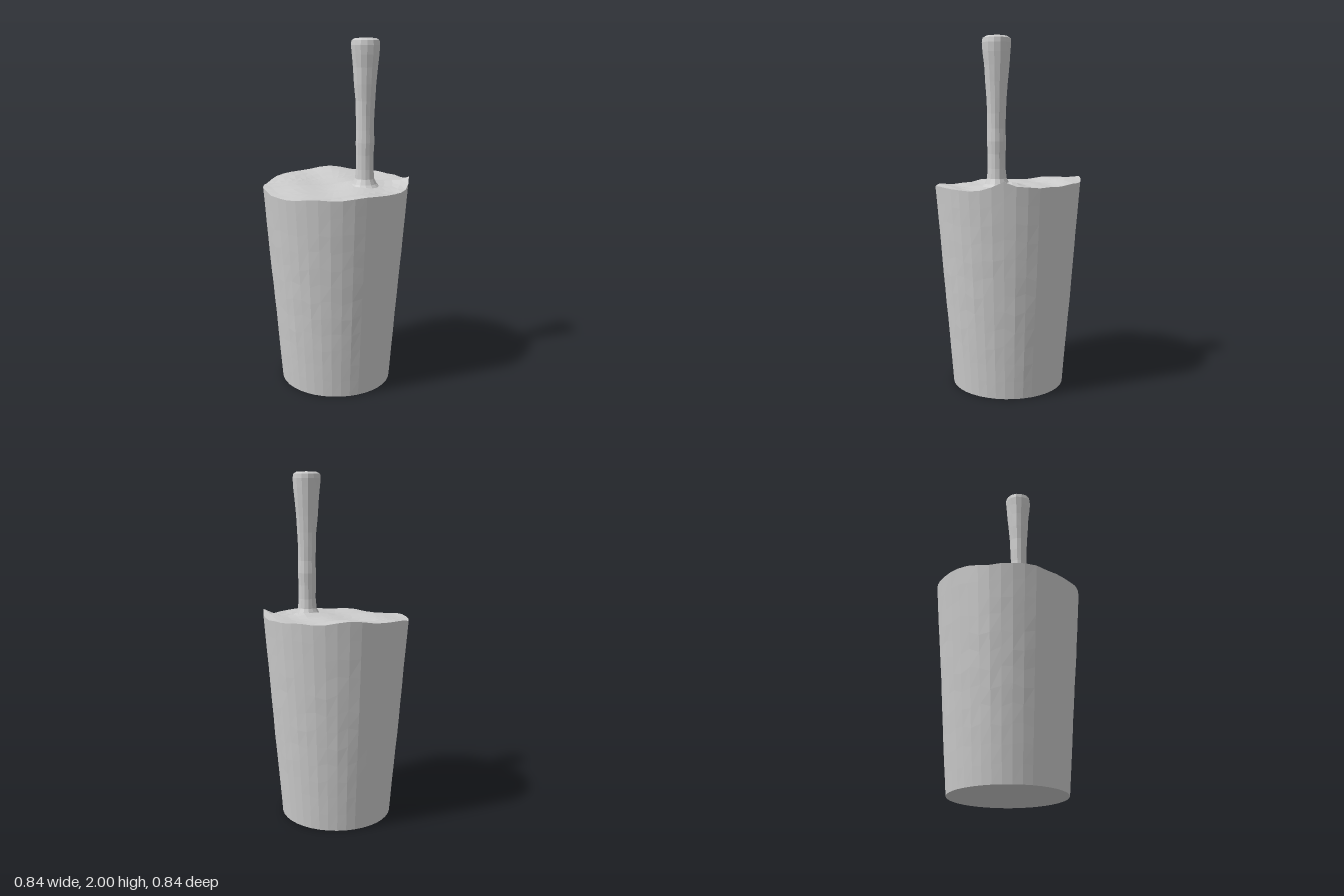
import * as THREE from 'three';

const SIDES = 40, RIM = 0.42, FOOT = 0.325, HEIGHT = 1.18;
const HANDLE_X = 0.175;

const material = (options = {}) =>
  new THREE.MeshStandardMaterial({ color: 0xcccccc, flatShading: true, ...options });

// Gentle peak centred on (px, pz)
const bump = (x, z, px, pz, size, height) =>
  height * Math.exp(-((x - px) ** 2 + (z - pz) ** 2) / (size * size));

// Height of the uneven filling
function surfaceHeight(x, z) {
  return HEIGHT - 0.015 * z / RIM
    + 0.006 * Math.sin(9 * x + 14 * z + 1) + 0.005 * Math.sin(17 * x - 11 * z)
    + 0.003 * Math.sin(31 * z + 23 * x)
    + bump(x, z, -0.22, -0.34, 0.13, 0.02)
    + bump(x, z, 0.4, -0.12, 0.05, 0.04)
    + bump(x, z, 0.16, -0.1, 0.05, 0.012)
    + bump(x, z, -0.05, 0.4, 0.15, -0.01)
    + bump(x, z, HANDLE_X, 0, 0.1, 0.012);
}

// Moves every vertex of a geometry by a rule
function reshape(geometry, rule) {
  const p = geometry.attributes.position;
  const v = new THREE.Vector3();
  for (let i = 0; i < p.count; i++) {
    rule(v.fromBufferAttribute(p, i));
    p.setXYZ(i, v.x, v.y, v.z);
  }
  geometry.computeVertexNormals();
  return geometry;
}

function addPart(group, name, geometry, options) {
  const mesh = new THREE.Mesh(geometry, material(options));
  mesh.name = name;
  group.add(mesh);
  return mesh;
}

export function createModel() {
  const group = new THREE.Group();
  group.name = 'tubWithHandle';

  // Tapered wall, its top edge following the filling
  const wall = new THREE.CylinderGeometry(RIM, FOOT, HEIGHT, SIDES, 12, true);
  wall.translate(0, HEIGHT / 2, 0);
  addPart(group, 'tubWall', reshape(wall, (v) => {
    const t = v.y / HEIGHT, a = Math.atan2(v.x, v.z);
    const rimY = surfaceHeight(RIM * Math.sin(a), RIM * Math.cos(a));
    const fade = Math.sin(Math.PI * t);
    const dent = 1 + 0.004 * fade * Math.sin(11 * a + 17 * t) * Math.cos(7 * a - 13 * t);
    v.x *= dent;
    v.z *= dent;
    v.y = t * rimY + 0.015 * fade * Math.sin(13 * a + 9 * t);
  }), { side: THREE.DoubleSide });

  // Flat underside
  const base = new THREE.CircleGeometry(FOOT, SIDES);
  base.rotateX(Math.PI / 2);
  addPart(group, 'tubBase', base);

  // Rumpled filling
  const filling = new THREE.RingGeometry(0.001, RIM, SIDES, 9);
  filling.rotateX(-Math.PI / 2);
  addPart(group, 'filling', reshape(filling, (v) => {
    v.y = surfaceHeight(v.x, v.z);
  }), { side: THREE.DoubleSide });

  // Handle with a flared root and a thicker, rounded end
  const profile = [
    [0.1, 1.165], [0.07, 1.195], [0.055, 1.225], [0.05, 1.28], [0.05, 1.36],
    [0.053, 1.43], [0.05, 1.5], [0.052, 1.58], [0.055, 1.66], [0.062, 1.75],
    [0.069, 1.84], [0.076, 1.91], [0.08, 1.96], [0.077, 1.985], [0.06, 1.996], [0, 2],
  ].map(([r, y]) => new THREE.Vector2(r, y));
  const handle = new THREE.LatheGeometry(profile, 14);
  const handleMesh = addPart(group, 'handle', reshape(handle, (v) => {
    const a = Math.atan2(v.x, v.z);
    const dent = 1 + 0.035 * Math.sin(3 * a + 19 * v.y) * Math.cos(2 * a - 11 * v.y);
    v.x *= dent;
    v.z *= dent;
  }));
  handleMesh.position.x = HANDLE_X;

  return group;
}
